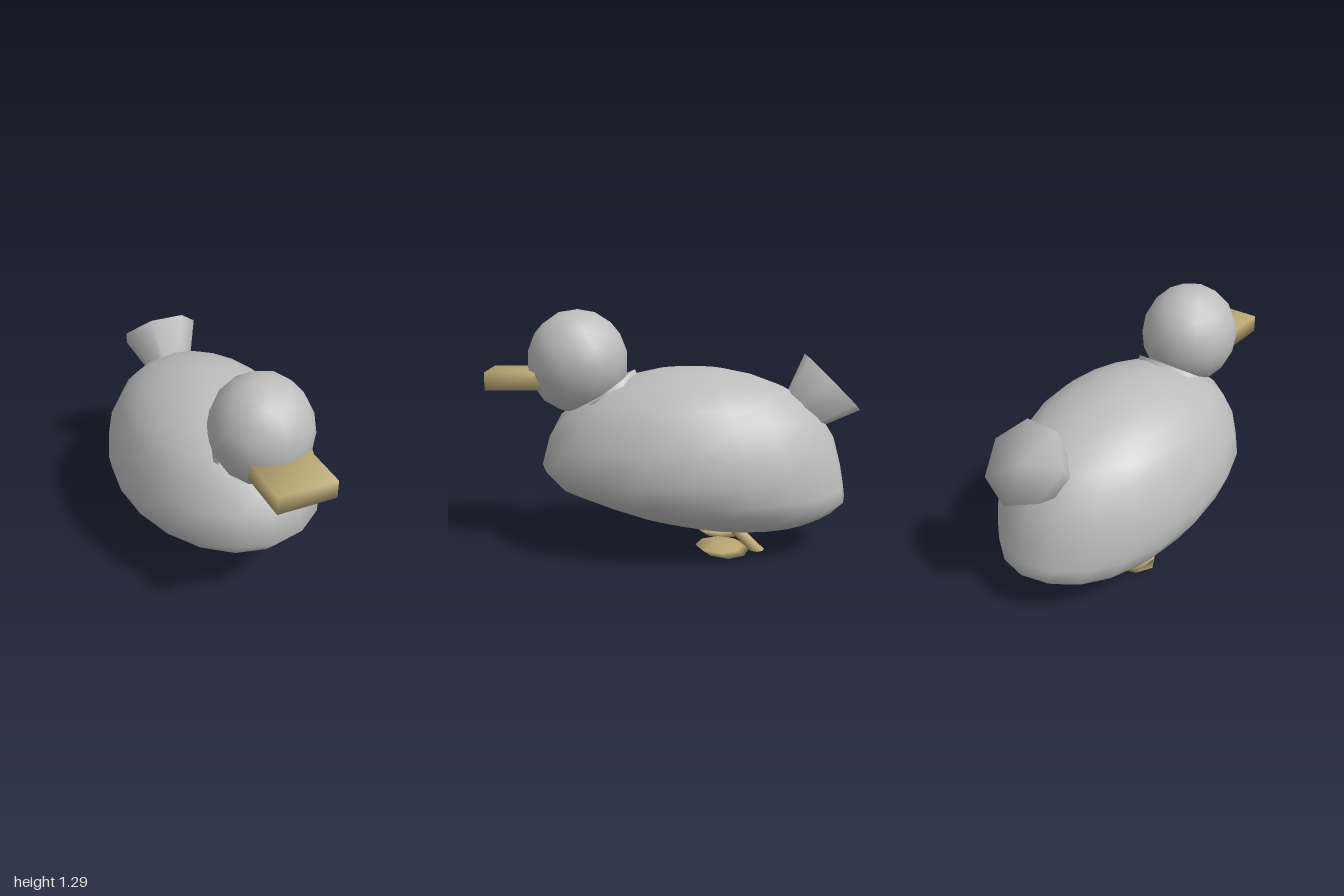
import * as THREE from 'three';
import { mergeVertices } from 'three/addons/utils/BufferGeometryUtils.js';

const plumage = new THREE.MeshStandardMaterial({ color: 0xbdbdbd });
plumage.name = 'grey plumage';
const horn = new THREE.MeshStandardMaterial({ color: 0xb8a672 });
horn.name = 'tan horn';

// Weld all corners so the shading runs smoothly over every edge
function smooth(geometry) {
  geometry.deleteAttribute('normal');
  geometry.deleteAttribute('uv');
  const welded = mergeVertices(geometry, 1e-4);
  welded.computeVertexNormals();
  return welded;
}

// Stack horizontal ellipses, bottom to top: [y, zFront, zBack, halfWidth]
function loft(rings, sides) {
  const positions = [], index = [];
  rings.forEach(([y, zf, zb, hw], i) => {
    for (let j = 0; j < sides; j++) {
      const a = (j / sides) * Math.PI * 2;
      positions.push(hw * Math.sin(a), y, (zf + zb) / 2 + ((zf - zb) / 2) * Math.cos(a));
      if (i === rings.length - 1) continue;
      const p = i * sides + j, q = i * sides + ((j + 1) % sides);
      index.push(p, q, q + sides, p, q + sides, p + sides);
    }
  });
  const g = new THREE.BufferGeometry();
  g.setAttribute('position', new THREE.Float32BufferAttribute(positions, 3));
  g.setIndex(index);
  return smooth(g);
}

// Seven-sided flare whose wide rim is centred on (0, y, z)
function flare(rim, base, length, y, z, tilt) {
  const g = new THREE.CylinderGeometry(rim, base, length, 7);
  g.rotateY(Math.PI).translate(0, -length / 2, 0).rotateX(tilt).translate(0, y, z);
  return smooth(g);
}

export function createModel() {
  const model = new THREE.Group();
  model.name = 'duck';
  const add = (name, geometry, material, x = 0) => {
    const mesh = new THREE.Mesh(geometry, material);
    mesh.name = name;
    mesh.position.x = x;
    model.add(mesh);
    return mesh;
  };

  // Egg-shaped body, its keel swept towards the tail
  add('body', loft([
    [0.10, -0.38, -0.38, 0],
    [0.115, -0.15, -0.60, 0.17],
    [0.15, 0.04, -0.75, 0.29],
    [0.205, 0.26, -0.86, 0.405],
    [0.27, 0.45, -0.93, 0.47],
    [0.34, 0.63, -0.92, 0.513],
    [0.45, 0.73, -0.90, 0.54],
    [0.60, 0.69, -0.86, 0.517],
    [0.73, 0.62, -0.78, 0.46],
    [0.81, 0.53, -0.69, 0.41],
    [0.88, 0.41, -0.58, 0.335],
    [0.94, 0.25, -0.42, 0.24],
    [0.975, 0.10, -0.26, 0.13],
    [0.99, -0.08, -0.08, 0],
  ], 20), plumage);

  // Head, neck and tail
  const head = add('head', smooth(new THREE.IcosahedronGeometry(1, 2)), plumage);
  head.scale.set(0.26, 0.281, 0.27);
  head.position.set(0, 1.016, 0.527);
  add('neck', flare(0.215, 0.12, 0.3, 0.85, 0.395, 0.61), plumage);
  add('tail', flare(0.22, 0.08, 0.35, 0.906, -0.844, -Math.PI / 4), plumage);

  // Flat bill
  const bill = new THREE.BoxGeometry(0.306, 0.095, 0.29).translate(0, 0.928, 0.855);
  add('bill', smooth(bill), horn);

  // Slanting legs and flat pointed feet
  const legGeometry = loft([
    [0.02, -0.432, -0.432, 0],
    [0.02, -0.39, -0.475, 0.05],
    [0.16, -0.25, -0.335, 0.05],
    [0.16, -0.292, -0.292, 0],
  ], 8);
  const footGeometry = loft([
    [0, -0.28, -0.28, 0],
    [0.022, -0.15, -0.395, 0.168],
    [0.045, -0.105, -0.36, 0.145],
    [0.065, -0.22, -0.22, 0],
  ], 8);
  for (const [side, x] of [['left', 0.17], ['right', -0.17]]) {
    add(side + 'Leg', legGeometry, horn, x);
    add(side + 'Foot', footGeometry, horn, x);
  }
  return model;
}
